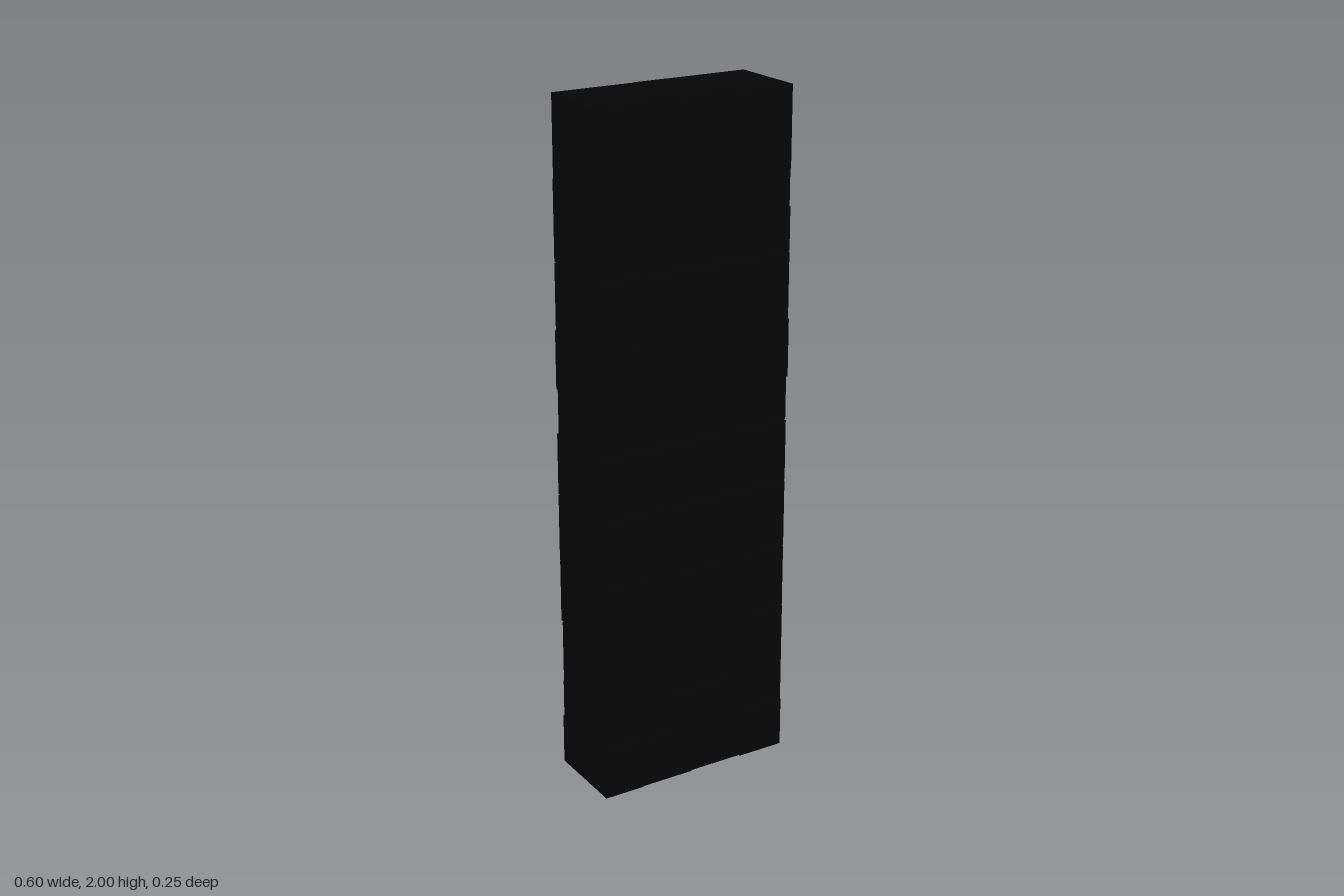
import * as THREE from 'three';

const HALF_WIDTH = 0.302;
const GAP = 0.003;

// Each course from the ground up: top height, open bed joint above it,
// x of its upright joints, and half the depth of each block.
const COURSES = [
  { top: 0.155, open: true, joints: [-0.176, -0.01, 0.156], depths: [0.126, 0.123, 0.119, 0.124] },
  { top: 0.27, joints: [-0.083, 0.125], depths: [0.12, 0.125, 0.121] },
  { top: 0.465, open: true, joints: [0.182], depths: [0.118, 0.121] },
  { top: 0.655, open: true, joints: [-0.11, 0.123], depths: [0.125, 0.125, 0.12] },
  { top: 0.86, open: true, joints: [-0.143, 0.152], depths: [0.126, 0.126, 0.12] },
  { top: 1.045, open: true, joints: [-0.095, 0.076], depths: [0.126, 0.126, 0.12] },
  { top: 1.175, joints: [-0.057, 0.16], depths: [0.117, 0.121, 0.117] },
  { top: 1.345, joints: [-0.156, 0.156], depths: [0.125, 0.12, 0.124] },
  { top: 1.54, open: true, joints: [-0.173, -0.027, 0.176], depths: [0.12, 0.126, 0.123, 0.12] },
  { top: 1.665, joints: [], depths: [0.12] },
  { top: 1.77, joints: [-0.065, 0.083], depths: [0.12, 0.12, 0.116] },
  { top: 2, joints: [-0.055, 0.06], depths: [0.117, 0.12, 0.119] },
];

export function createModel() {
  const model = new THREE.Group();
  model.name = 'blockPillar';
  const stone = new THREE.MeshStandardMaterial({ color: 0x050505 });

  let bottom = 0;
  COURSES.forEach(({ top, open, joints, depths }, row) => {
    const course = new THREE.Group();
    course.name = `course${row + 1}`;
    const height = top - bottom - (open ? GAP : 0);
    const edges = [-HALF_WIDTH, ...joints, HALF_WIDTH];

    // Blocks side by side, with a hairline between neighbours
    depths.forEach((depth, i) => {
      const x0 = edges[i] + (i > 0 ? GAP / 2 : 0);
      const x1 = edges[i + 1] - (i < depths.length - 1 ? GAP / 2 : 0);
      const block = new THREE.Mesh(new THREE.BoxGeometry(x1 - x0, height, depth * 2), stone);
      block.name = `block${row + 1}_${i + 1}`;
      block.position.set((x0 + x1) / 2, bottom + height / 2, 0);
      course.add(block);
    });

    model.add(course);
    bottom = top;
  });
  return model;
}
